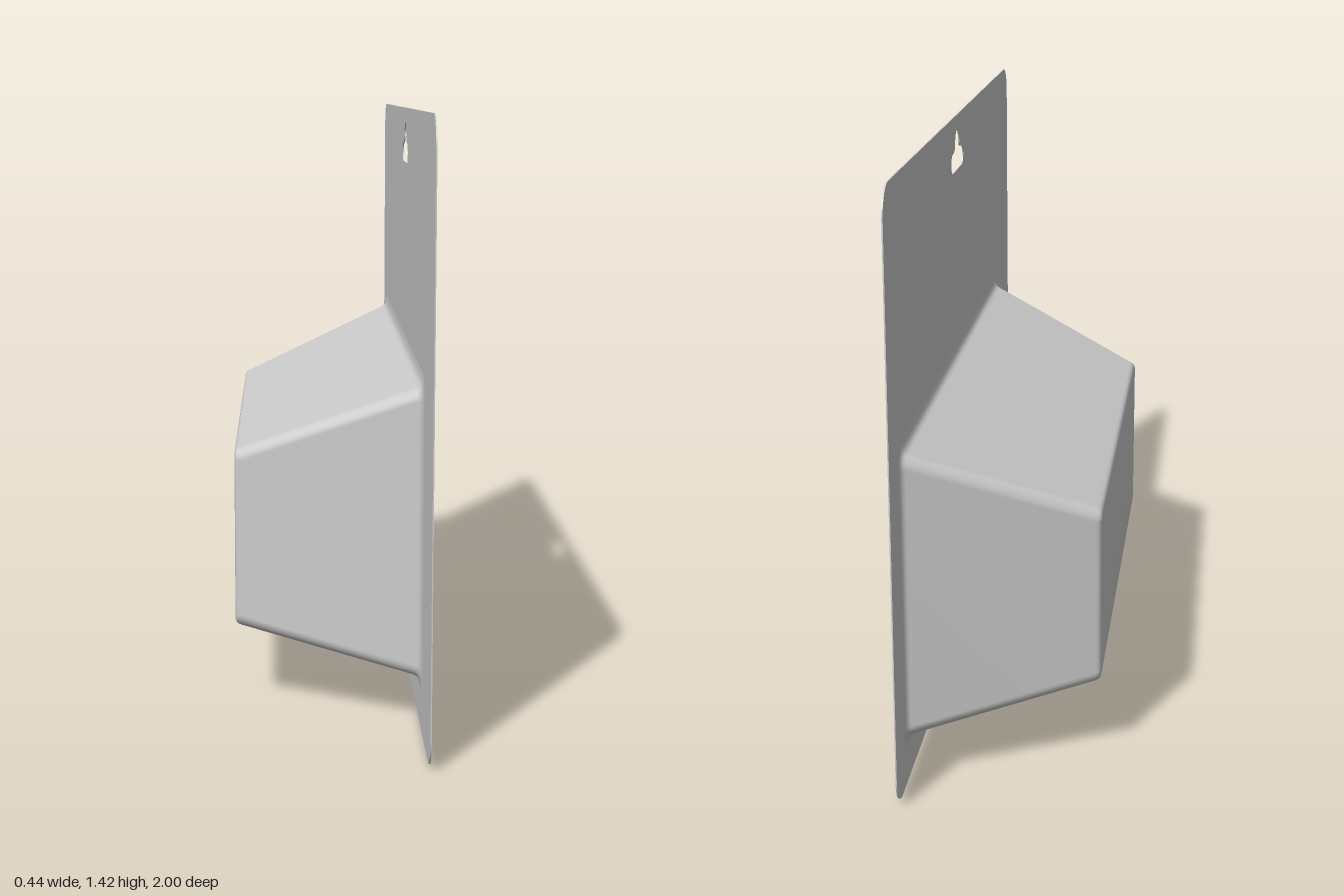
import * as THREE from 'three';

const FACE = 0.215; // x of the card face that carries the blister
const THICK = 0.003;

// Rounded rectangle card with a hanger slot, lying in the zy plane
function cardGeometry() {
  const w = 1, h = 1.42, r = 0.07, s = new THREE.Shape();
  s.moveTo(-w + r, 0);
  s.lineTo(w - r, 0);
  s.absarc(w - r, r, r, -Math.PI / 2, 0);
  s.absarc(w - r, h - r, r, 0, Math.PI / 2);
  s.absarc(-w + r, h - r, r, Math.PI / 2, Math.PI);
  s.absarc(-w + r, r, r, Math.PI, Math.PI * 1.5);

  const slot = new THREE.Path();
  slot.moveTo(-0.075, 1.28);
  slot.lineTo(0.075, 1.28);
  slot.absarc(0.075, 1.305, 0.025, -Math.PI / 2, Math.PI / 2);
  slot.quadraticCurveTo(0.038, 1.33, 0.035, 1.347);
  slot.absarc(0, 1.347, 0.035, 0, Math.PI);
  slot.quadraticCurveTo(-0.038, 1.33, -0.075, 1.33);
  slot.absarc(-0.075, 1.305, 0.025, Math.PI / 2, Math.PI * 1.5);
  s.holes.push(slot);

  const g = new THREE.ExtrudeGeometry(s, { depth: THICK, bevelEnabled: false, curveSegments: 12 });
  return g.rotateY(Math.PI / 2).translate(FACE, 0, 0);
}

// Tapered tray lofted through rounded rectangles from the card to its cap
function blisterGeometry() {
  const base = [-0.888, 0.715, 0.122, 0.8]; // z0, z1, y0, y1
  const end = [-0.713, 0.543, 0.193, 0.63];
  // x, rectangle, outset, corner radius
  const sections = [
    [FACE, base, 0.032, 0.06], [0.213, base, 0.017, 0.047], [0.21, base, 0.009, 0.039],
    [0.206, base, 0.004, 0.034], [0.2, base, 0, 0.03],
    [-0.205, end, 0, 0.03], [-0.212, end, -0.003, 0.027],
    [-0.217, end, -0.008, 0.022], [-0.219, end, -0.015, 0.015],
  ];
  const steps = 6, n = 4 * (steps + 1), pos = [], idx = [];
  for (const [x, [z0, z1, y0, y1], o, r] of sections) {
    const corners = [[z1 + o - r, y0 - o + r], [z1 + o - r, y1 + o - r],
      [z0 - o + r, y1 + o - r], [z0 - o + r, y0 - o + r]];
    corners.forEach(([cz, cy], k) => {
      for (let i = 0; i <= steps; i++) {
        const a = (k - 1 + i / steps) * Math.PI / 2;
        pos.push(x, cy + r * Math.sin(a), cz + r * Math.cos(a));
      }
    });
  }
  for (let j = 0; j < sections.length - 1; j++) {
    for (let i = 0; i < n; i++) {
      const a = j * n + i, b = j * n + (i + 1) % n;
      idx.push(a, b, b + n, a, b + n, a + n);
    }
  }
  // Flat cap
  const last = (sections.length - 1) * n, centre = pos.length / 3;
  pos.push(-0.219, (end[2] + end[3]) / 2, (end[0] + end[1]) / 2);
  for (let i = 0; i < n; i++) idx.push(centre, last + i, last + (i + 1) % n);

  const g = new THREE.BufferGeometry();
  g.setAttribute('position', new THREE.Float32BufferAttribute(pos, 3));
  g.setIndex(idx);
  g.computeVertexNormals();
  return g;
}

export function createModel() {
  const group = new THREE.Group();
  group.name = 'blisterPack';
  const material = new THREE.MeshStandardMaterial({ color: 0xcccccc, side: THREE.DoubleSide });
  const add = (name, geometry) => {
    const mesh = new THREE.Mesh(geometry, material);
    mesh.name = name;
    group.add(mesh);
  };
  add('backingCard', cardGeometry());
  add('blister', blisterGeometry());
  return group;
}
